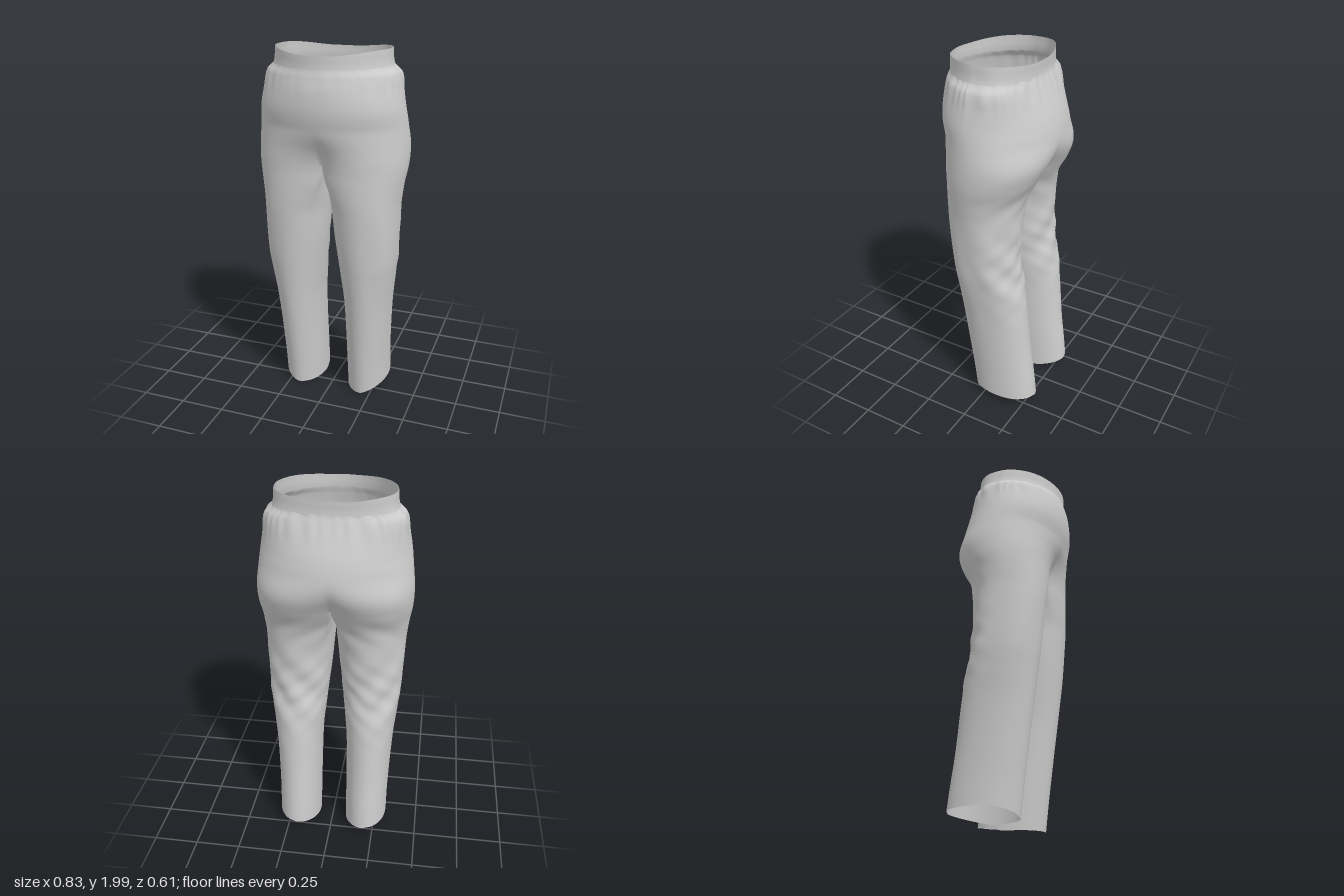
import * as THREE from 'three';
import { mergeGeometries, mergeVertices } from 'three/addons/utils/BufferGeometryUtils.js';

const CROTCH = 1.42, BAND = 1.915;
const OUTER = 64, INNER = 20;          // segments around the outside and the inseam
const TUCK = 0.7;                      // how far the outside wraps towards the inseam

// height, outer x, inner x, front z, back z
const PROFILE = [
  [0.0, 0.318, 0.078, 0.082, -0.295], [0.2, 0.32, 0.076, 0.105, -0.275],
  [0.4, 0.327, 0.074, 0.13, -0.252], [0.6, 0.34, 0.068, 0.157, -0.232],
  [0.75, 0.358, 0.052, 0.177, -0.212], [0.85, 0.369, 0.042, 0.19, -0.19],
  [1.0, 0.376, 0.024, 0.205, -0.178], [1.2, 0.383, 0.006, 0.222, -0.183],
  [1.3, 0.395, 0.002, 0.227, -0.2], [1.4, 0.41, 0, 0.231, -0.25],
  [1.5, 0.412, 0, 0.246, -0.293], [1.6, 0.402, 0, 0.28, -0.302],
  [1.7, 0.389, 0, 0.303, -0.283], [1.8, 0.37, 0, 0.304, -0.245],
  [1.88, 0.352, 0, 0.29, -0.212], [1.915, 0.318, 0, 0.281, -0.2],
  [2.0, 0.306, 0, 0.281, -0.2],
];

const smooth = THREE.MathUtils.smoothstep;
const mix = THREE.MathUtils.lerp;
const bump = (y, mid, width) => Math.exp(-(((y - mid) / width) ** 2));
const signedPow = (v, front, back) => (v > 0 ? v ** front : -((-v) ** back));

// Cubic interpolation of the profile at a given height
function profileAt(y) {
  let i = 0;
  while (i < PROFILE.length - 2 && PROFILE[i + 1][0] < y) i++;
  const p = PROFILE[i], q = PROFILE[i + 1];
  const before = PROFILE[i - 1] || p, after = PROFILE[i + 2] || q;
  const h = q[0] - p[0], s = (y - p[0]) / h;
  return [1, 2, 3, 4].map((c) => {
    const m0 = h * (q[c] - before[c]) / (q[0] - before[0]);
    const m1 = h * (after[c] - p[c]) / (after[0] - p[0]);
    return p[c] * (1 - 3 * s * s + 2 * s ** 3) + q[c] * (3 * s * s - 2 * s ** 3)
      + m0 * (s - 2 * s * s + s ** 3) + m1 * (s ** 3 - s * s);
  });
}

// One horizontal section of the left half: outside first, then the inseam
function section(y) {
  const [xo, xi, zf, zb] = profileAt(y);
  const cx = (xo + xi) / 2, a = (xo - xi) / 2;
  const waist = smooth(y, 1.68, 1.9);
  const cz = (zf + zb) / 2 - 0.03 * waist;
  const join = smooth(y, 1.12, CROTCH);      // inseam flattens onto the middle
  const torso = smooth(y, 1.36, 1.63);       // two lobes melt into one oval
  const frontPower = mix(1.05, 1.25, waist), backPower = mix(0.95, 0.62, waist);
  const seamX = cx - a * Math.sin(TUCK);
  const points = [];
  for (let j = 0; j <= OUTER + INNER; j++) {
    const outside = j <= OUTER;
    const phi = outside
      ? -TUCK + (j / OUTER) * (Math.PI + 2 * TUCK)
      : Math.PI + TUCK + ((j - OUTER) / INNER) * (Math.PI - 2 * TUCK);
    let x = cx + a * Math.sin(phi);
    let v = signedPow(Math.cos(phi), 1.03, 0.94);
    x = mix(x, Math.max(0, (x - seamX) / (xo - seamX) * xo), join);
    if (outside) {
      const t = (j / OUTER) * Math.PI;
      x = mix(x, xo * Math.sin(t), torso);
      v = mix(v, signedPow(Math.cos(t), frontPower, backPower), torso);
    }
    if (y >= CROTCH - 1e-6 && (j === 0 || j >= OUTER)) x = 0;
    points.push({ x, v, phi });
  }
  // Fit the depth to the side silhouette
  const front = Math.max(...points.map((p) => p.v));
  const back = Math.min(...points.map((p) => p.v));
  return points.map(({ x, v, phi }) => ({
    x, phi, z: cz + (v > 0 ? (v / front) * (zf - cz) : (v / back) * (zb - cz)),
  }));
}

// Cloth folds, applied along the outward direction
function foldDepth(y, phi) {
  const sides = Math.max(0, Math.sin(phi)), rear = Math.max(0, -Math.cos(phi));
  const gathers = 0.005 * Math.sin(phi * 21 + 2 * Math.sin(phi * 5))
    * bump(y, 1.86, 0.06) * (0.3 + 0.7 * Math.max(sides, rear));
  // Slanting folds behind the knee
  const knee = bump(y, 0.9, 0.2) * rear
    * (0.006 * Math.sin(27 * y + 5 * phi) + 0.003 * Math.sin(52 * y - 6 * phi));
  const seat = 0.003 * bump(y, 1.28, 0.1) * rear * Math.sin(40 * y - 6 * phi);
  const sideDrape = 0.005 * bump(y, 0.95, 0.3) * sides * Math.sin(5 * phi + 4 * y);
  return gathers + knee + seat + sideDrape;
}

// Loft the half between two heights; closed adds the inseam
function loftHalf(y0, y1, rows, closed) {
  const count = (closed ? OUTER + INNER : OUTER) + 1;
  const positions = [], index = [];
  for (let i = 0; i <= rows; i++) {
    const y = mix(y0, y1, i / rows);
    section(y).slice(0, count).forEach(({ x, z, phi }) => {
      const d = y < BAND - 1e-6 ? foldDepth(y, phi) : 0;
      const px = x === 0 ? 0 : Math.max(0.001, x + d * Math.sin(phi));
      const pz = z + d * Math.cos(phi);
      // Hem rising to the outside and back, waist dipping at front and back
      const lift = Math.min(1, Math.max(0, Math.sin(phi)) + 0.85 * Math.max(0, -Math.cos(phi)));
      const hem = (0.008 + 0.05 * lift) * (1 - smooth(y, 0, 0.35));
      const dip = 0.02 * (1 - smooth(x, 0.05, 0.31)) * smooth(y, BAND, 2);
      positions.push(px, y + hem - dip, pz);
    });
  }
  for (let i = 0; i < rows; i++) {
    for (let j = 0; j < count - 1; j++) {
      const p = i * count + j, q = p + count;
      index.push(p, p + 1, q, p + 1, q + 1, q);
    }
  }
  const geometry = new THREE.BufferGeometry();
  geometry.setAttribute('position', new THREE.Float32BufferAttribute(positions, 3));
  geometry.setIndex(index);
  return geometry;
}

// Mirrored copy with the corner order reversed
function mirrored(geometry) {
  const copy = geometry.clone().scale(-1, 1, 1);
  const order = copy.index.array;
  for (let i = 0; i < order.length; i += 3) {
    [order[i + 1], order[i + 2]] = [order[i + 2], order[i + 1]];
  }
  return copy;
}

function clothMesh(name, halves, material) {
  const all = halves.flatMap((g) => [g, mirrored(g)]);
  const geometry = mergeVertices(mergeGeometries(all), 1e-5);
  geometry.computeVertexNormals();
  const mesh = new THREE.Mesh(geometry, material);
  mesh.name = name;
  return mesh;
}

export function createModel() {
  const cloth = new THREE.MeshStandardMaterial({
    color: 0xcccccc, roughness: 0.9, side: THREE.DoubleSide,
  });
  const group = new THREE.Group();
  group.name = 'trousers';

  // Legs and seat in one continuous cloth
  const legs = loftHalf(0, CROTCH, 110, true);
  const hips = loftHalf(CROTCH, BAND, 60, false);
  group.add(clothMesh('legsAndSeat', [legs, hips], cloth));

  // Elastic waistband
  group.add(clothMesh('waistband', [loftHalf(BAND, 2, 8, false)], cloth));
  return group;
}
